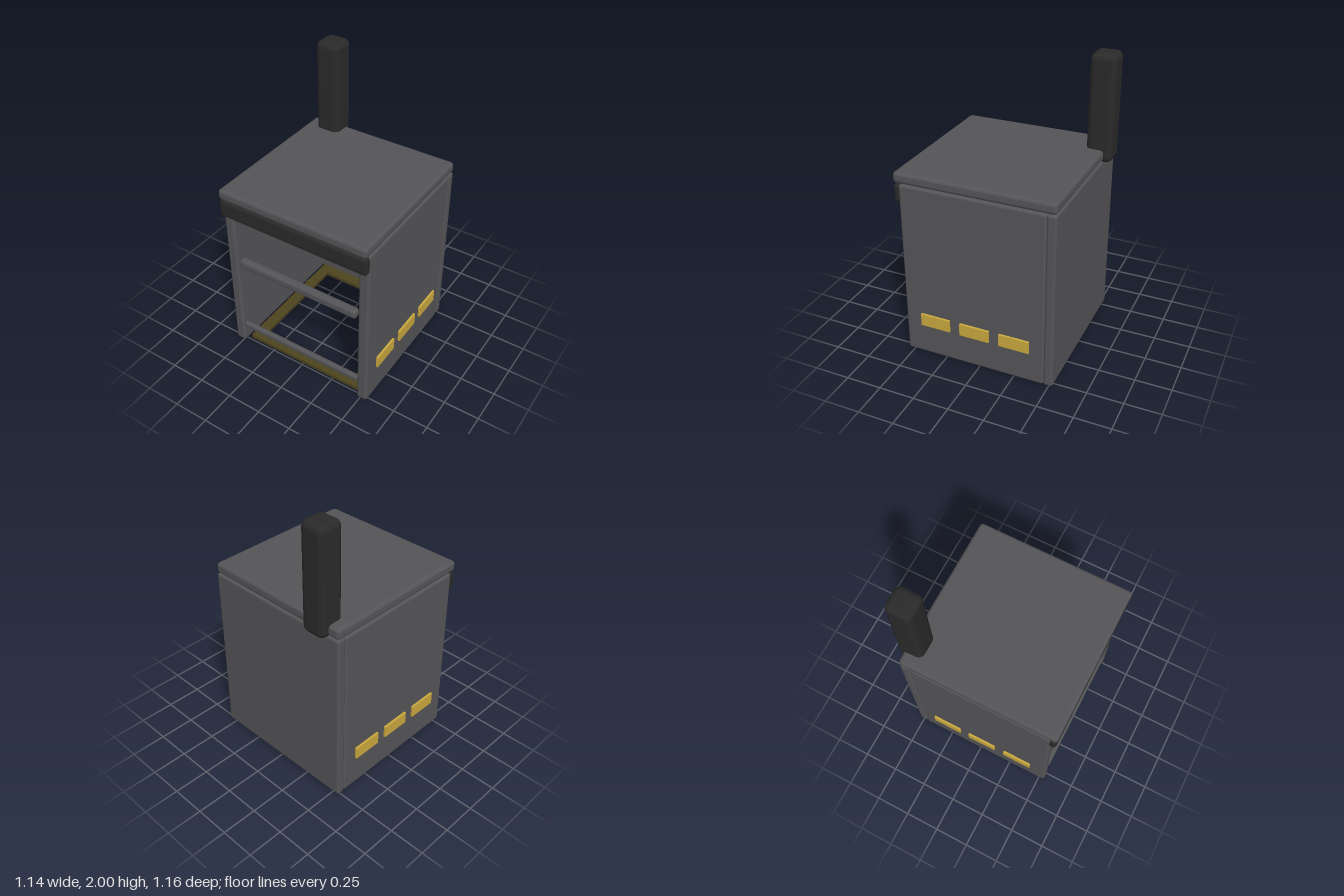
import * as THREE from 'three';
import { RoundedBoxGeometry } from 'three/addons/geometries/RoundedBoxGeometry.js';

const mat = (name, color) => {
  const m = new THREE.MeshStandardMaterial({ color });
  m.name = name;
  return m;
};

export function createModel() {
  const model = new THREE.Group();
  model.name = 'oven';
  const steel = mat('grey steel', 0x555558);
  const iron = mat('black iron', 0x2a2a2a);
  const gold = mat('gold', 0xc9a83e);
  const bronze = mat('dark bronze', 0x4d431f);

  // Box given by its limits on each axis, with rounded edges when r > 0
  const box = (name, material, [x0, x1], [y0, y1], [z0, z1], r, parent = model) => {
    const size = [x1 - x0, y1 - y0, z1 - z0];
    const geo = r ? new RoundedBoxGeometry(...size, 2, r) : new THREE.BoxGeometry(...size);
    const mesh = new THREE.Mesh(geo, material);
    mesh.name = name;
    mesh.position.set((x0 + x1) / 2, (y0 + y1) / 2, (z0 + z1) / 2);
    parent.add(mesh);
    return mesh;
  };

  // Shell: back panel, lid and front trim
  box('backPanel', steel, [-0.555, 0.555], [0.01, 1.27], [-0.53, -0.465], 0.018);
  box('lid', steel, [-0.555, 0.555], [1.273, 1.35], [-0.53, 0.58], 0.025);
  box('frontTrim', iron, [-0.555, 0.555], [1.14, 1.27], [0.522, 0.576], 0.022);

  // Side walls with three inlaid plates each
  for (const [side, s] of [['left', 1], ['right', -1]]) {
    const span = (a, b) => (s > 0 ? [a, b] : [-b, -a]);
    box(side + 'Wall', steel, span(0.48, 0.555), [0.01, 1.27], [-0.467, 0.54], 0.018);
    for (const z of [-0.26, 0.025, 0.313])
      box(side + 'Plate', gold, span(0.55, 0.57), [0.24, 0.33], [z - 0.107, z + 0.107], 0.002);
  }

  // Rails across the open front
  box('upperRail', steel, [-0.463, 0.463], [0.718, 0.786], [0.485, 0.545], 0.022);
  box('lowerRail', steel, [-0.475, 0.475], [0.15, 0.195], [0.5, 0.54], 0.015);

  // Open rectangular frame at the base
  const frame = new THREE.Group();
  frame.name = 'baseFrame';
  model.add(frame);
  for (const [a, b] of [[-0.465, -0.385], [0.41, 0.49]])
    box('frameCrossBar', bronze, [-0.462, 0.462], [0, 0.042], [a, b], 0.012, frame);
  for (const [a, b] of [[-0.462, -0.382], [0.382, 0.462]])
    box('frameSideBar', bronze, [a, b], [0, 0.042], [-0.465, 0.49], 0.012, frame);

  // Chimney at the back right corner
  box('chimney', iron, [-0.475, -0.295], [1.255, 2], [-0.583, -0.402], 0.045);

  return model;
}
